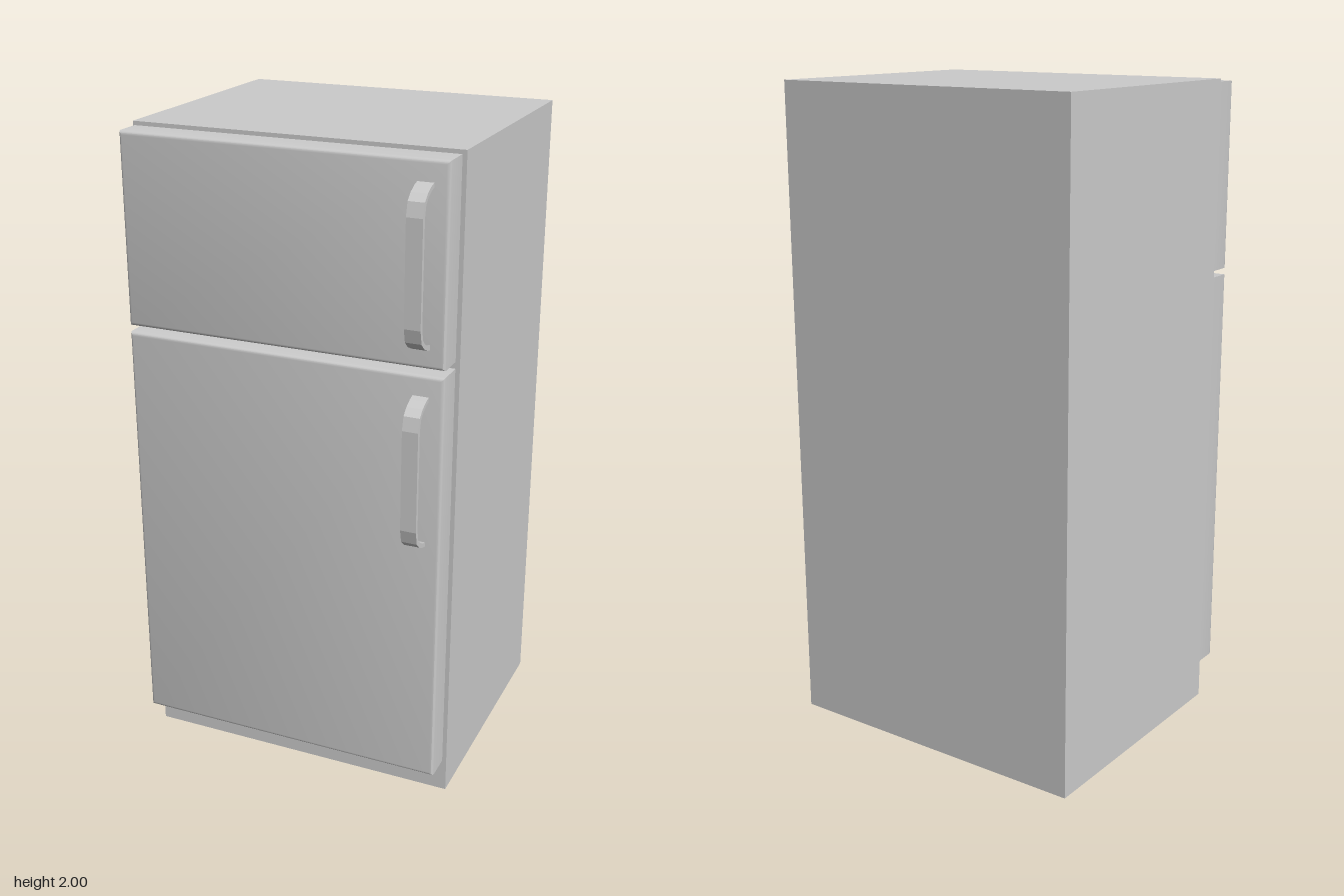
import * as THREE from 'three';
import { toCreasedNormals } from 'three/addons/utils/BufferGeometryUtils.js';

const material = new THREE.MeshStandardMaterial({ color: 0xcccccc });

function addMesh(parent, name, geometry, x = 0, y = 0, z = 0) {
  const mesh = new THREE.Mesh(geometry, material);
  mesh.name = name;
  mesh.position.set(x, y, z);
  parent.add(mesh);
  return mesh;
}

// Door slab: rounded edges on the front, square edges on the back
function doorGeometry(width, height, depth) {
  const r = 0.011, w = width / 2, h = height / 2;
  const shape = new THREE.Shape([
    new THREE.Vector2(-w, -h), new THREE.Vector2(w, -h),
    new THREE.Vector2(w, h), new THREE.Vector2(-w, h),
  ]);
  const geometry = new THREE.ExtrudeGeometry(shape, {
    depth: depth - r, bevelEnabled: true, bevelThickness: r,
    bevelSize: r, bevelOffset: -r, bevelSegments: 3,
  });
  // Flatten the rear bevel into a square back face
  const p = geometry.attributes.position;
  for (let i = 0; i < p.count; i++) {
    if (p.getZ(i) < 0.001) p.setXYZ(i, Math.sign(p.getX(i)) * w, Math.sign(p.getY(i)) * h, 0);
  }
  return toCreasedNormals(geometry, 0.6);
}

// Bent flat-bar handle, its side profile extruded across the width
function handleGeometry(height, width) {
  const h = height / 2;
  const outer = [[-0.004, 0], [0.02, 0.006], [0.046, 0.019], [0.067, 0.038], [0.077, 0.078]];
  const inner = [[-0.004, 0.013], [0.016, 0.018], [0.039, 0.03], [0.056, 0.046], [0.064, 0.08]];
  const top = (list) => list.map(([z, d]) => new THREE.Vector2(z, h - d));
  const bottom = (list) => list.map(([z, d]) => new THREE.Vector2(z, d - h));
  const shape = new THREE.Shape([
    ...top(outer), ...bottom(outer).reverse(), ...bottom(inner), ...top(inner).reverse(),
  ]);
  const geometry = new THREE.ExtrudeGeometry(shape, { depth: width, bevelEnabled: false });
  geometry.rotateY(-Math.PI / 2).translate(width / 2, 0, 0);
  return geometry;
}

export function createModel() {
  const model = new THREE.Group();
  model.name = 'refrigerator';

  // Cabinet
  addMesh(model, 'cabinet', new THREE.BoxGeometry(1, 2, 0.8), 0, 1, -0.088);

  // Doors with their gaskets and handles
  const doors = [
    { name: 'freezerDoor', bottom: 1.42, top: 1.99, handleY: 1.703 },
    { name: 'fridgeDoor', bottom: 0.11, top: 1.4, handleY: 1.113 },
  ];
  for (const { name, bottom, top, handleY } of doors) {
    const door = new THREE.Group();
    door.name = name;
    const height = top - bottom, y = (top + bottom) / 2;
    addMesh(door, name + 'Gasket', new THREE.BoxGeometry(0.966, height - 0.014, 0.014), 0, y, 0.317);
    addMesh(door, name + 'Panel', doorGeometry(0.98, height, 0.088), 0, y, 0.321);
    addMesh(door, name + 'Handle', handleGeometry(0.456, 0.047), 0.423, handleY, 0.409);
    model.add(door);
  }
  return model;
}
